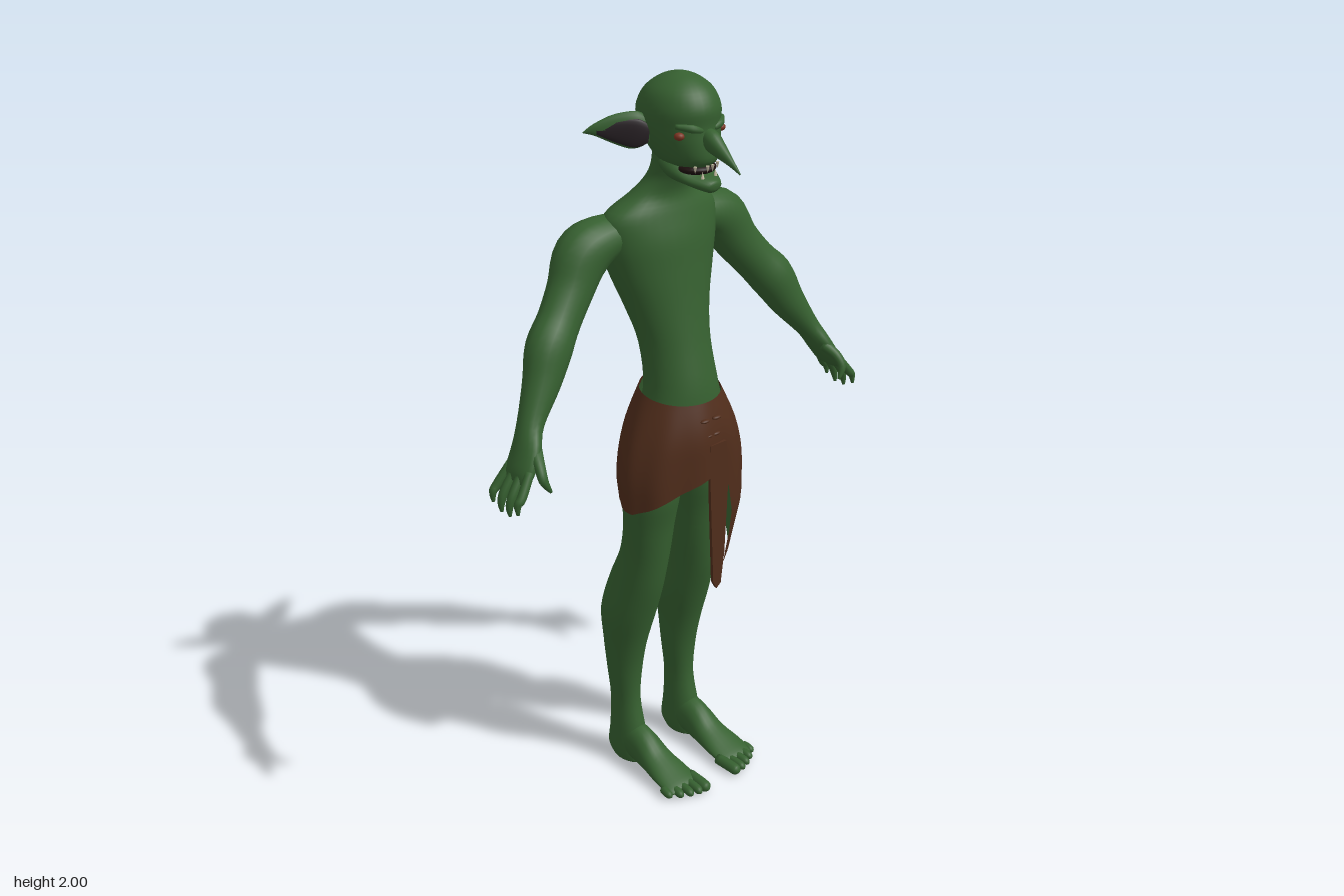
import * as THREE from 'three';

const mat = (name, color, side = THREE.FrontSide) => {
  const m = new THREE.MeshStandardMaterial({ color, side });
  m.name = name;
  return m;
};
const skin = mat('green skin', 0x366030);
const leather = mat('brown leather', 0x502d1b, THREE.DoubleSide);
const earDark = mat('dark inner ear', 0x272024);
const eyeRed = mat('red eye', 0x7c3522);
const mouthDark = mat('dark mouth', 0x1c0f0e);
const toothBone = mat('bone tooth', 0xc4bca2);

const X = new THREE.Vector3(1, 0, 0), Y = new THREE.Vector3(0, 1, 0), Z = new THREE.Vector3(0, 0, 1);

// Catmull-Rom through rows of numbers
function sample(rows, t) {
  const f = t * (rows.length - 1), i = Math.min(Math.floor(f), rows.length - 2), u = f - i;
  const r = (k) => rows[Math.max(0, Math.min(rows.length - 1, k))];
  return rows[0].map((_, c) => {
    const [a, b, d, e] = [r(i - 1)[c], r(i)[c], r(i + 1)[c], r(i + 2)[c]];
    return b + 0.5 * u * (d - a + u * (2 * a - 5 * b + 4 * d - e + u * (3 * (b - d) + e - a)));
  });
}

// Skin over elliptical rings [x, y, z, radius along ref, radius across].
// A fixed axis sets the ring plane and must point along the path.
function loft(rows, ref, { axis = null, sides = 20, steps = 4 } = {}) {
  const n = (rows.length - 1) * steps, pos = [], idx = [];
  const centre = (j) => new THREE.Vector3(...sample(rows, j / n).slice(0, 3));
  for (let j = 0; j <= n; j++) {
    const s = sample(rows, j / n), c = centre(j);
    const T = axis ? axis.clone() : centre(Math.min(n, j + 1)).sub(centre(Math.max(0, j - 1))).normalize();
    const u = ref.clone().addScaledVector(T, -ref.dot(T)).normalize();
    const v = T.clone().cross(u);
    for (let i = 0; i < sides; i++) {
      const a = (i / sides) * Math.PI * 2;
      const p = c.clone().addScaledVector(u, Math.max(0.0005, s[3]) * Math.cos(a))
        .addScaledVector(v, Math.max(0.0005, s[4]) * Math.sin(a));
      pos.push(p.x, p.y, p.z);
    }
  }
  for (let j = 0; j < n; j++) for (let i = 0; i < sides; i++) {
    const k = (i + 1) % sides, a = j * sides + i, b = j * sides + k;
    idx.push(a, b, b + sides, a, b + sides, a + sides);
  }
  const first = pos.length / 3, last = first + 1;
  pos.push(...centre(0).toArray(), ...centre(n).toArray());
  for (let i = 0; i < sides; i++) {
    const k = (i + 1) % sides;
    idx.push(first, k, i, last, n * sides + i, n * sides + k);
  }
  return geometry(pos, idx);
}

function geometry(pos, idx) {
  const g = new THREE.BufferGeometry();
  g.setAttribute('position', new THREE.Float32BufferAttribute(pos, 3));
  g.setIndex(idx);
  g.computeVertexNormals();
  return g;
}

// Horizontal ring from its extents: y, back, front, inner z, outer z
const ring = ([y, back, front, z0, z1]) =>
  [(back + front) / 2, y, (z0 + z1) / 2, (front - back) / 2, Math.abs(z1 - z0) / 2];

// Wrap skirt: lower hem on the right, inset for its lining
function skirt(inset, lining) {
  const hem = [[-180, 0.87], [-135, 0.84], [-100, 0.76], [-70, 0.67], [-47, 0.63], [-33, 0.66], [-18, 0.94],
    [0, 0.96], [30, 0.93], [60, 0.89], [80, 0.872], [105, 0.885], [135, 0.875], [180, 0.87]];
  const cols = 90, rows = 14, pos = [], idx = [];
  for (let j = 0; j <= rows; j++) for (let i = 0; i < cols; i++) {
    const deg = -180 + (i / cols) * 360, a = THREE.MathUtils.degToRad(deg);
    const k = hem.findIndex((h) => h[0] > deg), [d0, y0] = hem[k - 1], [d1, y1] = hem[k];
    const low = y0 + (y1 - y0) * (deg - d0) / (d1 - d0);
    const top = 1.177 - 0.016 * Math.cos(a);
    const y = top + (low - top) * (j / rows);
    const ease = (len) => Math.sin(Math.min(1, (top - y) / len) * Math.PI / 2);
    const tuck = Math.max(0, 0.82 - y) * 0.22 + Math.max(0, 0.94 - y) * 0.2 * Math.max(0, -Math.cos(a));
    const fold = 0.003 * Math.sin(a * 9) * ease(0.25) - inset;
    const rx = 0.1 + 0.028 * ease(0.13) - tuck + fold, rz = 0.113 + 0.08 * ease(0.25) - tuck + fold;
    pos.push(-0.012 + rx * Math.cos(a), y, rz * Math.sin(a));
  }
  for (let j = 0; j < rows; j++) for (let i = 0; i < cols; i++) {
    const k = (i + 1) % cols, a = j * cols + i, b = j * cols + k, c = a + cols, d = b + cols;
    if (lining) idx.push(a, c, d, a, d, b);
    else idx.push(a, d, c, a, b, d);
  }
  return geometry(pos, idx);
}

export function createModel() {
  const model = new THREE.Group();
  model.name = 'goblin';
  const add = (name, geo, material, parent = model) => {
    const m = new THREE.Mesh(geo, material);
    m.name = name;
    parent.add(m);
    return m;
  };
  const ball = (name, material, p, s, parent) => {
    const m = add(name, new THREE.SphereGeometry(1, 18, 12), material, parent);
    m.position.set(...p);
    m.scale.set(...s);
    return m;
  };

  // Torso and neck: y, back, front, half width
  add('torso', loft([
    [0.93, -0.06, 0.0, 0.03], [0.98, -0.11, 0.055, 0.12], [1.07, -0.12, 0.085, 0.135], [1.18, -0.1, 0.083, 0.104],
    [1.3, -0.12, 0.055, 0.098], [1.4, -0.16, 0.035, 0.12], [1.5, -0.192, 0.02, 0.155], [1.58, -0.198, 0.01, 0.175],
    [1.645, -0.172, -0.008, 0.17], [1.69, -0.135, -0.02, 0.105], [1.73, -0.105, -0.01, 0.068],
    [1.77, -0.088, 0.01, 0.057], [1.83, -0.085, 0.03, 0.055],
  ].map(([y, b, f, w]) => ring([y, b, f, -w, w])), X, { axis: Y, sides: 32 }), skin);

  // Head
  const head = new THREE.Group();
  head.name = 'head';
  model.add(head);
  add('skull', loft([
    [1.782, -0.07, 0.085, 0.05], [1.8, -0.088, 0.102, 0.067], [1.84, -0.112, 0.1, 0.085], [1.88, -0.128, 0.095, 0.095],
    [1.92, -0.128, 0.096, 0.095], [1.96, -0.102, 0.075, 0.078], [1.988, -0.06, 0.035, 0.042], [2, -0.015, -0.01, 0.003],
  ].map(([y, b, f, w]) => ring([y, b, f, -w, w])), X, { axis: Y, sides: 32 }), skin, head);
  add('jaw', loft([[-0.05, 1.79, 0, 0.05, 0.03], [0.01, 1.77, 0, 0.064, 0.034], [0.06, 1.752, 0, 0.053, 0.021],
    [0.095, 1.742, 0, 0.036, 0.018], [0.112, 1.738, 0, 0.022, 0.014], [0.117, 1.737, 0, 0.006, 0.005]], Z), skin, head);
  ball('chin', skin, [0.098, 1.735, 0], [0.015, 0.014, 0.018], head);
  add('nose', loft([[0.07, 1.868, 0, 0.016, 0.016], [0.1, 1.85, 0, 0.023, 0.026], [0.13, 1.832, 0, 0.018, 0.02],
    [0.17, 1.808, 0, 0.008, 0.009], [0.2, 1.788, 0, 0.002, 0.002]], Z), skin, head);
  ball('mouth', mouthDark, [0.045, 1.775, 0], [0.05, 0.016, 0.052], head);
  for (const [a, up] of [[-0.75, 1], [-0.4, 0], [-0.15, 1], [0.15, 1], [0.4, 0], [0.75, 1]]) {
    const tooth = add('tooth', new THREE.ConeGeometry(0.005, 0.017, 6), toothBone, head);
    tooth.position.set(0.045 + 0.052 * Math.cos(a), up ? 1.78 : 1.767, 0.054 * Math.sin(a));
    if (up) tooth.rotation.x = Math.PI;
  }

  for (const s of [1, -1]) {
    const side = s > 0 ? 'left' : 'right';
    const m = (rows) => rows.map(([x, y, z, a, b]) => [x, y, z * s, a, b]);

    // Ear with dark hollow, eye and brow
    add(side + 'Ear', loft(m([[-0.04, 1.862, 0.075, 0.03, 0.02], [-0.05, 1.866, 0.11, 0.046, 0.018],
      [-0.075, 1.872, 0.155, 0.036, 0.013], [-0.098, 1.872, 0.195, 0.016, 0.008],
      [-0.115, 1.866, 0.22, 0.001, 0.001]]), Y), skin, head);
    add(side + 'InnerEar', loft(m([[-0.024, 1.858, 0.09, 0.022, 0.006], [-0.039, 1.861, 0.116, 0.035, 0.008],
      [-0.068, 1.868, 0.157, 0.027, 0.007], [-0.094, 1.87, 0.195, 0.01, 0.005]]), Y), earDark, head);
    ball(side + 'Eye', eyeRed, [0.06, 1.864, s * 0.067], [0.013, 0.01, 0.013], head);
    add(side + 'Brow', loft(m([[0.088, 1.874, 0.018, 0.006, 0.006], [0.082, 1.882, 0.045, 0.01, 0.01],
      [0.056, 1.888, 0.076, 0.006, 0.006]]), Y, { sides: 10 }), skin, head);

    // Arm, hand and fingers
    add(side + 'Arm', loft(m([[-0.1, 1.6, 0.08, 0.05, 0.04], [-0.113, 1.59, 0.17, 0.065, 0.06],
      [-0.114, 1.56, 0.235, 0.066, 0.073], [-0.1, 1.49, 0.284, 0.056, 0.062], [-0.082, 1.425, 0.337, 0.052, 0.058],
      [-0.064, 1.37, 0.385, 0.055, 0.062], [-0.045, 1.3, 0.425, 0.046, 0.05], [-0.02, 1.215, 0.483, 0.036, 0.032],
      [0, 1.16, 0.515, 0.047, 0.026], [0.008, 1.115, 0.543, 0.05, 0.02], [0.008, 1.095, 0.555, 0.04, 0.011]]), X), skin);
    for (let i = 0; i < 4; i++) {
      const x = -0.03 + 0.025 * i, w = -0.04 + 0.033 * i, drop = i === 0 || i === 3 ? 0.015 : 0;
      add(side + 'Finger', loft(m([[x, 1.125, 0.54, 0.012, 0.012], [w, 1.075, 0.577, 0.012, 0.012],
        [w, 1.045 + drop, 0.59, 0.01, 0.01], [w + 0.003, 1.02 + drop, 0.592, 0.004, 0.004]]), X, { sides: 10 }), skin);
    }
    add(side + 'Thumb', loft(m([[0.025, 1.165, 0.505, 0.018, 0.016], [0.06, 1.14, 0.52, 0.014, 0.013],
      [0.08, 1.11, 0.525, 0.012, 0.011], [0.085, 1.078, 0.508, 0.004, 0.004]]), Z, { sides: 10 }), skin);

    // Leg: y, back, front, inner, outer
    add(side + 'Leg', loft(m([[0.01, -0.175, -0.06, 0.065, 0.14], [0.04, -0.192, -0.06, 0.058, 0.147],
      [0.1, -0.185, -0.062, 0.06, 0.145], [0.2, -0.18, -0.083, 0.065, 0.14], [0.3, -0.187, -0.08, 0.055, 0.15],
      [0.4, -0.196, -0.06, 0.045, 0.16], [0.5, -0.2, -0.03, 0.03, 0.17], [0.6, -0.172, 0, 0.03, 0.16],
      [0.7, -0.13, 0.017, 0.025, 0.152], [0.8, -0.11, 0.03, 0.018, 0.156], [0.9, -0.118, 0.048, 0.006, 0.163],
      [1, -0.1, 0.04, 0.01, 0.14]].map(ring)), X, { axis: Y, sides: 24 }), skin);
    add(side + 'Foot', loft(m([[-0.15, 0.05, 0.102, 0.03, 0.035], [-0.11, 0.068, 0.102, 0.039, 0.058],
      [-0.06, 0.066, 0.102, 0.042, 0.058], [0, 0.045, 0.102, 0.048, 0.038], [0.06, 0.031, 0.103, 0.056, 0.024],
      [0.11, 0.02, 0.104, 0.056, 0.014], [0.125, 0.018, 0.104, 0.045, 0.006]]), Z), skin);
    for (let i = 0; i < 5; i++) {
      const r = i === 0 ? 0.016 : 0.012, z = 0.056 + 0.025 * i, tip = 0.172 - 0.0028 * i * i;
      add(side + 'Toe', loft(m([[0.09, 0.02, z, r, r], [tip - 0.025, 0.019, z + 0.002, r, r],
        [tip - 0.008, 0.016, z + 0.003, r * 0.85, r * 0.85], [tip, 0.014, z + 0.003, 0.002, 0.002]]),
        Z, { sides: 10 }), skin);
    }
  }

  // Loincloth with lining, hanging strip and lacing
  add('loincloth', skirt(0, false), leather);
  add('loinclothLining', skirt(0.005, true), skin);
  const strip = new THREE.Shape([[-0.012, 1.05], [0.045, 1.05], [0.055, 0.95], [0.042, 0.72], [0.03, 0.63],
    [0.015, 0.617], [0.002, 0.64], [-0.01, 0.92]].map(([x, y]) => new THREE.Vector2(x, y)));
  const hang = add('hangingStrip', new THREE.ExtrudeGeometry(strip, { depth: 0.009, bevelEnabled: false }), leather);
  hang.rotation.y = Math.PI / 2;
  hang.position.x = 0.109;
  for (const [y, z] of [[1.12, 0.02], [1.12, -0.02], [1.075, 0.008], [1.075, -0.018]])
    ball('lacing', leather, [0.106, y, z], [0.008, 0.005, 0.015]);

  return model;
}
